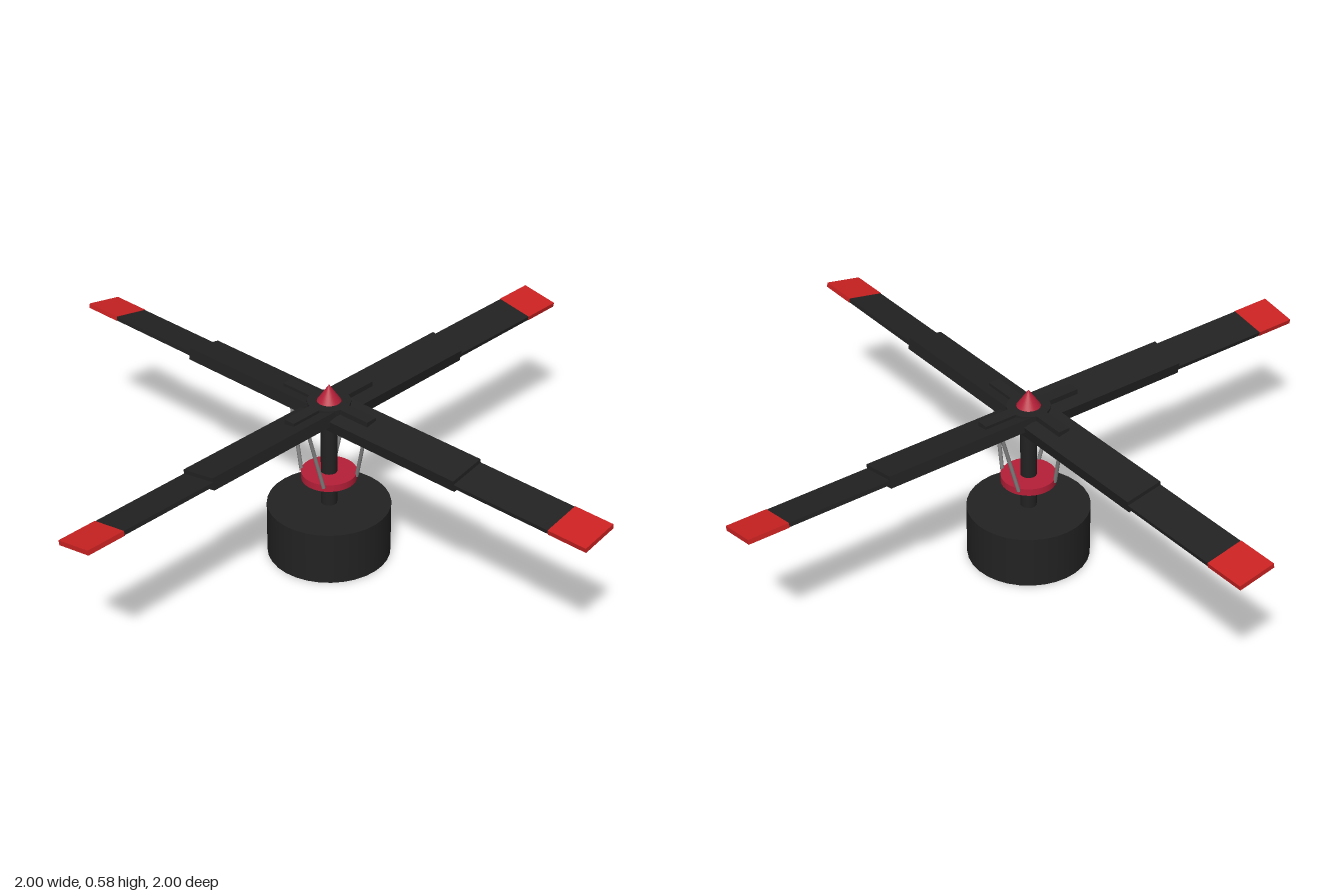
import * as THREE from 'three';

const material = (name, color) => Object.assign(new THREE.MeshStandardMaterial({ color }), { name });

export function createModel() {
  const black = material('matte black', 0x222222);
  const red = material('tip red', 0xcc2222);
  const crimson = material('crimson', 0xb51f38);
  const steel = material('grey steel', 0x808080);

  const model = new THREE.Group();
  model.name = 'rotorAssembly';

  const add = (parent, name, geometry, mat) => {
    const mesh = new THREE.Mesh(geometry, mat);
    mesh.name = name;
    parent.add(mesh);
    return mesh;
  };
  // Upright cylinder or cone between two heights
  const turned = (name, rTop, rBottom, y0, y1, mat) => {
    const mesh = add(model, name, new THREE.CylinderGeometry(rTop, rBottom, y1 - y0, 32), mat);
    mesh.position.y = (y0 + y1) / 2;
  };
  // Box running along x between two stations
  const span = (parent, name, x0, x1, height, depth, mat) => {
    const mesh = add(parent, name, new THREE.BoxGeometry(x1 - x0, height, depth), mat);
    mesh.position.x = (x0 + x1) / 2;
    return mesh;
  };

  // Base, mast, swashplate, hub and nose cone
  turned('base', 0.19, 0.19, 0, 0.17, black);
  turned('mast', 0.025, 0.025, 0.17, 0.5, black);
  turned('swashplate', 0.085, 0.085, 0.258, 0.281, crimson);
  turned('hub', 0.066, 0.066, 0.47, 0.526, black);
  turned('noseCone', 0, 0.042, 0.518, 0.58, crimson);

  // Four identical arms, each with a pitched blade, a grip and a control link
  for (let i = 0; i < 4; i++) {
    const arm = new THREE.Group();
    arm.name = 'rotorArm' + (i + 1);
    arm.rotation.y = i * Math.PI / 2;
    model.add(arm);

    const blade = new THREE.Group();
    blade.name = 'blade';
    blade.position.y = 0.494;
    blade.rotation.x = 0.18;
    arm.add(blade);
    span(blade, 'bladeRoot', 0.03, 0.535, 0.038, 0.12, black);
    span(blade, 'bladeOuter', 0.53, 0.872, 0.013, 0.12, black);
    span(blade, 'bladeTip', 0.87, 1, 0.015, 0.122, red);

    span(arm, 'bladeGrip', 0, 0.17, 0.052, 0.038, black).position.y = 0.5;

    // Control link from the swashplate up to the blade
    const foot = new THREE.Vector3(0.072, 0.272, -0.045);
    const head = new THREE.Vector3(0.125, 0.482, -0.032);
    const link = add(arm, 'controlLink',
      new THREE.CylinderGeometry(0.006, 0.006, foot.distanceTo(head), 10), steel);
    link.position.copy(foot).lerp(head, 0.5);
    link.quaternion.setFromUnitVectors(new THREE.Vector3(0, 1, 0), head.clone().sub(foot).normalize());
  }
  return model;
}
